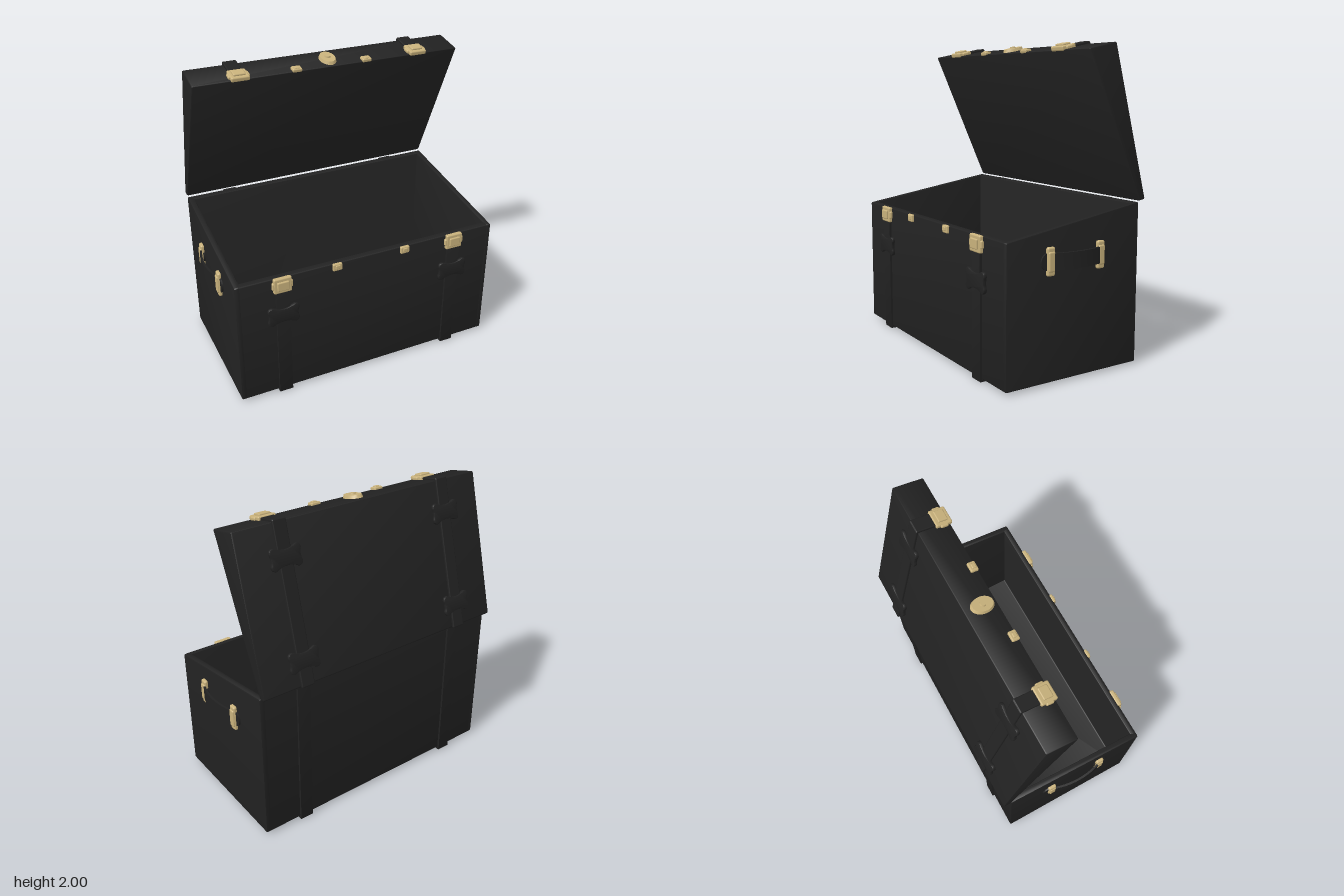
import * as THREE from 'three';
import { toCreasedNormals } from 'three/addons/utils/BufferGeometryUtils.js';
import { RoundedBoxGeometry } from 'three/addons/geometries/RoundedBoxGeometry.js';

const V = (x, y) => new THREE.Vector2(x, y);

export function createModel() {
  const leather = new THREE.MeshStandardMaterial({ color: 0x222222 });
  leather.name = 'black leather';
  const brass = new THREE.MeshStandardMaterial({ color: 0xc9b27c });
  brass.name = 'brass';

  const root = new THREE.Group();
  root.name = 'trunk';

  function add(parent, name, geometry, material, x = 0, y = 0, z = 0) {
    const mesh = new THREE.Mesh(geometry, material);
    mesh.name = name;
    mesh.position.set(x, y, z);
    parent.add(mesh);
    return mesh;
  }

  function group(name, parent = root) {
    const g = new THREE.Group();
    g.name = name;
    parent.add(g);
    return g;
  }

  // Polygon with softened corners
  function softShape(pts, r) {
    const s = new THREE.Shape();
    const p = pts.map(([a, b]) => V(a, b));
    p.forEach((c, i) => {
      const prev = p[(i + p.length - 1) % p.length], next = p[(i + 1) % p.length];
      const a = c.clone().add(prev.clone().sub(c).setLength(r));
      const b = c.clone().add(next.clone().sub(c).setLength(r));
      if (i === 0) s.moveTo(a.x, a.y); else s.lineTo(a.x, a.y);
      s.quadraticCurveTo(c.x, c.y, b.x, b.y);
    });
    s.closePath();
    return s;
  }

  function extrude(shape, depth, bevel, curveSegments = 4) {
    const geo = new THREE.ExtrudeGeometry(shape, {
      depth: depth - 2 * bevel, curveSegments, bevelEnabled: bevel > 0,
      bevelThickness: bevel, bevelSize: bevel, bevelOffset: -bevel, bevelSegments: 2,
    });
    geo.translate(0, 0, bevel);
    return toCreasedNormals(geo, 0.7);
  }

  // Side profile of [z, y] points, extruded along x and centred
  function prism(pts, width, r = 0.01, bevel = 0) {
    const geo = extrude(softShape(pts, r), width, bevel);
    geo.translate(0, 0, -width / 2);
    return geo.rotateY(-Math.PI / 2);
  }

  // Group lying on a surface: local y runs up the surface, local z points out
  function surface(name, [z, y], [uz, uy], side, parent) {
    const g = group(name, parent);
    const ex = new THREE.Vector3(side, 0, 0);
    const ey = new THREE.Vector3(0, uy, uz).normalize();
    const ez = ex.clone().cross(ey);
    g.quaternion.setFromRotationMatrix(new THREE.Matrix4().makeBasis(ex, ey, ez));
    g.position.set(0, y, z);
    return g;
  }

  // Open box: front, floor and back in one section, closed by side walls
  const body = group('body');
  const F = 0.498, B = -0.472, W = 0.04, Y0 = 0.016;
  const rim = z => 0.875 + (F - z) * 0.158;
  add(body, 'frontFloorBack', prism([
    [F, Y0], [F, rim(F)], [F - W, rim(F - W)], [F - W, Y0 + W],
    [B + W, Y0 + W], [B + W, rim(B + W)], [B, rim(B)], [B, Y0],
  ], 1.76), leather);
  for (const s of [-1, 1]) {
    add(body, 'sideWall', prism([[F, Y0], [F, rim(F)], [B, rim(B)], [B, Y0]], W, 0.01, 0.008),
      leather, s * 0.89);
  }

  // Wedge shaped lid, tipped open
  const lid = group('lid');
  const A = [-0.525, 1.042], T = [-0.27, 1.985], C = [-0.07, 1.943], D = [-0.478, 1.032];
  add(lid, 'lidShell', prism([A, T, C, D], 1.82, 0.01, 0.01), leather);

  // Waisted strap keeper
  const bow = new THREE.Shape();
  bow.moveTo(-0.075, 0.066);
  bow.quadraticCurveTo(0, 0.026, 0.075, 0.066);
  bow.quadraticCurveTo(0.105, 0.066, 0.104, 0.035);
  bow.quadraticCurveTo(0.09, 0, 0.104, -0.035);
  bow.quadraticCurveTo(0.105, -0.066, 0.075, -0.066);
  bow.quadraticCurveTo(0, -0.026, -0.075, -0.066);
  bow.quadraticCurveTo(-0.105, -0.066, -0.104, -0.035);
  bow.quadraticCurveTo(-0.09, 0, -0.104, 0.035);
  bow.quadraticCurveTo(-0.105, 0.066, -0.075, 0.066);
  const bowGeo = extrude(bow, 0.024, 0.006, 8);

  // Brass latch hanging from an edge; dir is the way it extends from y
  function latch(parent, x, y, dir) {
    const g = group('latch', parent);
    g.position.set(x, y, 0);
    add(g, 'latchPlate', new RoundedBoxGeometry(0.118, 0.105, 0.03, 2, 0.009), brass, 0, dir * 0.05, 0.008);
    add(g, 'latchLip', new RoundedBoxGeometry(0.138, 0.05, 0.024, 2, 0.009), brass, 0, dir * 0.05, 0.008);
    add(g, 'latchPanel', new RoundedBoxGeometry(0.078, 0.062, 0.024, 2, 0.007), brass, 0, dir * 0.05, 0.022);
  }

  function smallCatch(parent, x, y, dir) {
    const g = group('smallCatch', parent);
    g.position.set(x, y, 0);
    add(g, 'catchPlate', new RoundedBoxGeometry(0.064, 0.05, 0.024, 2, 0.008), brass, 0, dir * 0.025, 0.004);
    add(g, 'catchKnob', new RoundedBoxGeometry(0.034, 0.028, 0.016, 2, 0.006), brass, 0, dir * 0.022, 0.014);
  }

  const front = surface('frontDetails', [F, 0], [0, 1], 1, body);
  const lidBack = surface('lidBackDetails', A, [T[0] - A[0], T[1] - A[1]], -1, lid);
  const lidFront = surface('lidFrontDetails', C, [T[0] - C[0], T[1] - C[1]], 1, lid);
  const t = 0.014, lidLen = Math.hypot(T[0] - A[0], T[1] - A[1]);

  for (const s of [-1, 1]) {
    const x = s * 0.61;
    // Strap round the front, underside and back of the box
    add(body, 'bodyStrap', prism([
      [F, 0.86], [F + t, 0.86], [F + t, 0], [B - t, 0], [B - t, 1.025], [B, 1.025], [B, Y0], [F, Y0],
    ], 0.09, 0.005), leather, x);
    add(front, 'strapKeeper', bowGeo, leather, x, 0.608, 0);
    latch(front, x, 0.878, -1);
    smallCatch(front, s * 0.24, 0.878, -1);

    // Lid straps over the back and top edge
    add(lidBack, 'lidStrap', new RoundedBoxGeometry(0.09, lidLen + 0.016, 0.03, 2, 0.007),
      leather, x, lidLen / 2 + 0.004, 0);
    add(lidFront, 'lidStrapEnd', new RoundedBoxGeometry(0.09, 0.15, 0.03, 2, 0.007), leather, x, 0.142, 0);
    for (const y of [0.16, 0.77]) add(lidBack, 'strapKeeper', bowGeo, leather, x, y, 0);
    latch(lidFront, x, -0.008, 1);
    smallCatch(lidFront, s * 0.24, -0.002, 1);
  }

  // Oval lock plate with centre button
  const lock = group('lockPlate', lidFront);
  lock.position.set(0, 0.09, 0);
  const disc = (name, r, h, z) => {
    const geo = new THREE.CylinderGeometry(r * 0.86, r, h, 32).rotateX(Math.PI / 2);
    add(lock, name, toCreasedNormals(geo, 0.5), brass, 0, 0, z).scale.y = 1.38;
  };
  disc('lockOval', 0.055, 0.024, 0.008);
  const button = new THREE.CylinderGeometry(0.017, 0.02, 0.012, 20).rotateX(Math.PI / 2);
  add(lock, 'lockButton', toCreasedNormals(button, 0.5), brass, 0, 0, 0.023);

  // Side handles: bowed leather strip held by two brass loops
  const strip = new THREE.Shape();
  strip.moveTo(-0.2, 0.912);
  strip.quadraticCurveTo(0, 0.988, 0.2, 0.912);
  strip.lineTo(0.2, 0.926);
  strip.quadraticCurveTo(0, 1.002, -0.2, 0.926);
  strip.closePath();
  const stripGeo = extrude(strip, 0.1, 0, 12);
  stripGeo.translate(0, 0, -0.05).rotateX(Math.PI / 2).rotateY(Math.PI / 2);
  for (const s of [-1, 1]) {
    const handle = group(s > 0 ? 'leftHandle' : 'rightHandle');
    handle.position.set(0, 0.74, 0.018);
    handle.rotation.y = s > 0 ? 0 : Math.PI;
    if (s < 0) handle.position.z = 0.018;
    // strip's bow faces outward along local +x
    const grip = add(handle, 'handleStrip', stripGeo, leather);
    stripGeo.computeBoundingBox();
    if (stripGeo.boundingBox.max.x < 0.5) grip.rotation.y = Math.PI;
    for (const e of [-1, 1]) {
      const end = new THREE.CylinderGeometry(0.052, 0.052, 0.016, 20).rotateZ(Math.PI / 2);
      add(handle, 'handleEnd', toCreasedNormals(end, 0.5), leather, 0.912, 0, e * 0.196);
      const z = e * 0.183;
      add(handle, 'handleLoop', new RoundedBoxGeometry(0.03, 0.17, 0.054, 2, 0.012), brass, 0.917, 0, z);
      add(handle, 'handleLoopBridge', new RoundedBoxGeometry(0.026, 0.12, 0.046, 2, 0.01), brass, 0.926, 0, z);
    }
  }

  return root;
}
